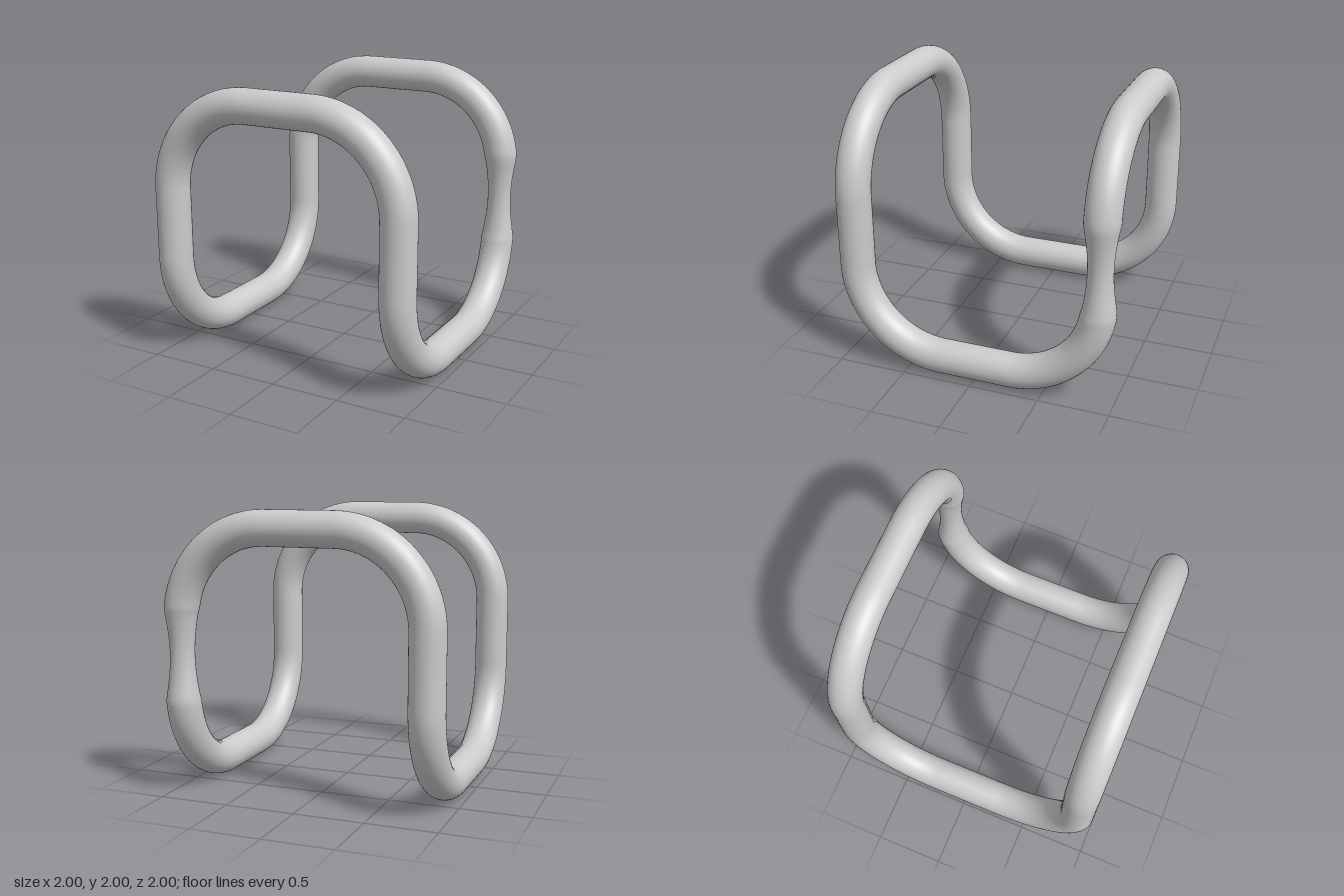
import * as THREE from 'three';
import { mergeVertices } from 'three/addons/utils/BufferGeometryUtils.js';

const TUBE = 0.122;          // tube radius
const C = 1 - TUBE;          // centreline half-size
const BEND = 0.63;           // bend radius of the centreline
const PINCH = 0.325;         // half-length of the narrowed stretch

// Closed path along eight edges of a cube, with circular bends at the corners
function loopPath() {
  const corners = [
    [1, 1, 1], [-1, 1, 1], [-1, -1, 1], [-1, -1, -1],
    [-1, 1, -1], [1, 1, -1], [1, -1, -1], [1, -1, 1],
  ].map(([x, y, z]) => new THREE.Vector3(x * C, 1 + y * C, z * C));
  const n = corners.length;
  const toward = (a, b, d) => a.clone().add(b.clone().sub(a).setLength(d));
  const path = new THREE.CurvePath();
  const handle = BEND * (1 - 0.5523);
  corners.forEach((p, i) => {
    const prev = corners[(i + n - 1) % n];
    const next = corners[(i + 1) % n];
    const end = toward(p, next, BEND);
    path.add(new THREE.CubicBezierCurve3(
      toward(p, prev, BEND), toward(p, prev, handle), toward(p, next, handle), end));
    path.add(new THREE.LineCurve3(end, toward(next, p, BEND)));
  });
  path.arcLengthDivisions = 1600;
  return path;
}

export function createModel() {
  const group = new THREE.Group();
  group.name = 'bentTubeLoop';

  let geometry = new THREE.TubeGeometry(loopPath(), 512, TUBE, 40, true);

  // Narrow the back leg on the +x side to the waist of a quarter-turn twist
  const pos = geometry.attributes.position;
  for (let i = 0; i < pos.count; i++) {
    const x = pos.getX(i), y = pos.getY(i), z = pos.getZ(i);
    const t = (y - 1 + PINCH) / (2 * PINCH);
    if (x < 0.5 || z > -0.5 || t < 0 || t > 1) continue;
    const s = Math.sqrt(1 - 2 * t + 2 * t * t);
    pos.setX(i, C + (x - C) * s);
    pos.setZ(i, -C + (z + C) * s);
  }

  // Weld the seams so the shading stays smooth all round
  geometry.deleteAttribute('uv');
  geometry.deleteAttribute('normal');
  geometry = mergeVertices(geometry, 1e-4);
  geometry.computeVertexNormals();

  const tube = new THREE.Mesh(geometry, new THREE.MeshStandardMaterial({ color: 0xcccccc }));
  tube.name = 'tubeLoop';
  group.add(tube);
  return group;
}
